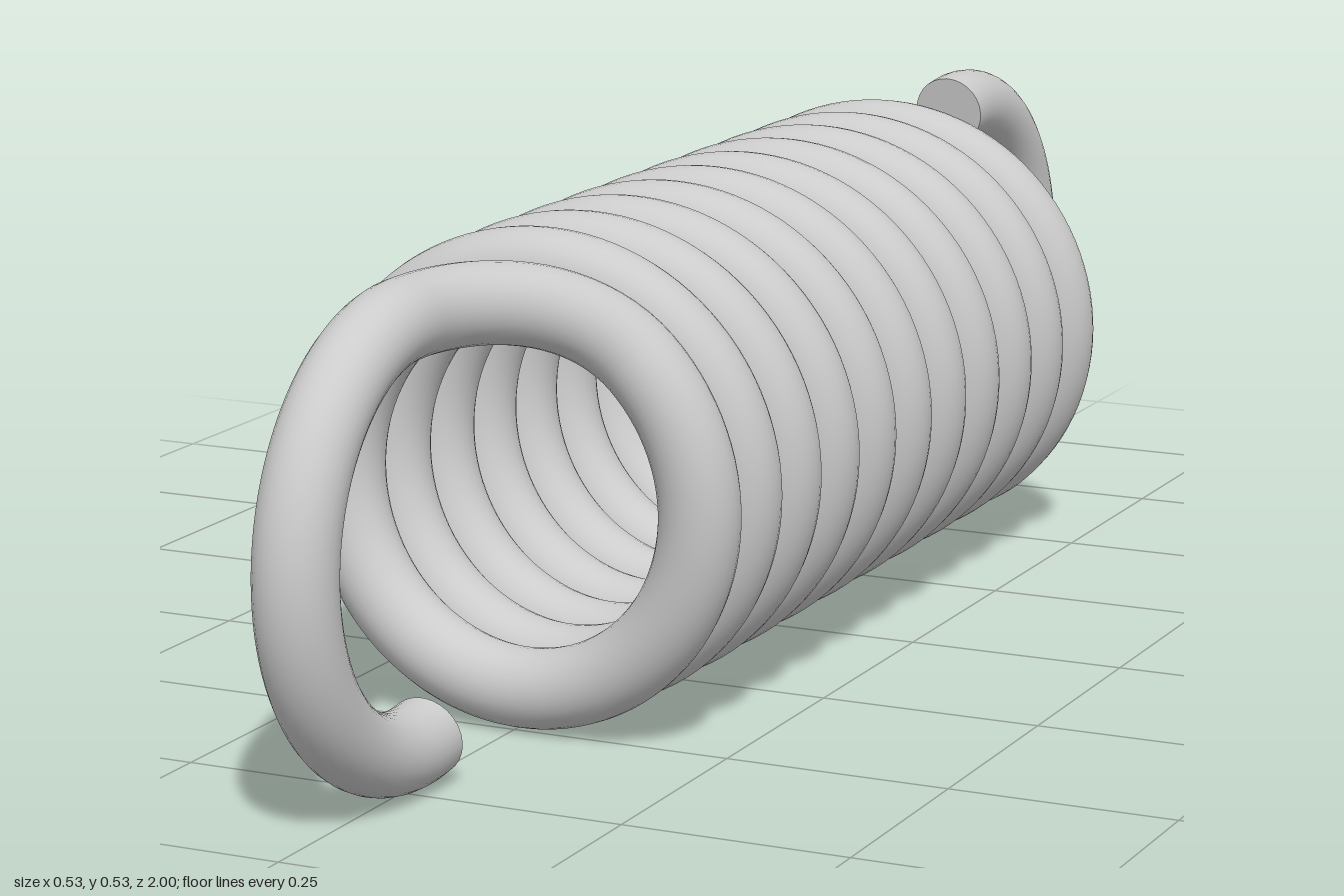
import * as THREE from 'three';

const WIRE = 0.0435;          // wire radius
const R = 0.2235;             // coil and hook radius (to wire centre)
const PITCH = 0.102;
const TURNS = 10;
const BEND = 0.2;             // radius of the bend from coil into hook
const HOOK_Z = 1 - R - WIRE;  // hook centre
const HOOK_SWEEP = THREE.MathUtils.degToRad(189);

// Path of the wire: coil, bend, short straight and hook; the back half is the front turned about x.
class SpringCurve extends THREE.Curve {
  constructor() {
    super();
    this.arcLengthDivisions = 4000;
    this.slope = Math.atan(PITCH / (2 * Math.PI * R));
    this.sEnd = R * (TURNS * Math.PI + Math.PI / 2);
    this.sBend = this.sEnd - BEND * (1 - Math.sin(this.slope));
    this.zBend = this.sBend * Math.tan(this.slope);
    this.zTop = this.zBend + BEND * Math.cos(this.slope);
    this.lengths = [
      this.sBend / Math.cos(this.slope),
      BEND * (Math.PI / 2 - this.slope),
      HOOK_Z - this.zTop,
      R * HOOK_SWEEP,
    ];
    this.half = this.lengths.reduce((a, b) => a + b, 0);
  }

  // Point on the coil's cylinder, s measured around it
  onCylinder(s, z, target) {
    return target.set(R * Math.cos(s / R), R * Math.sin(s / R), z);
  }

  getPoint(t, target = new THREE.Vector3()) {
    const u = (2 * t - 1) * this.half;
    const [coil, bend, straight] = this.lengths;
    let d = Math.abs(u);
    if (d <= coil) {
      this.onCylinder(d * Math.cos(this.slope), d * Math.sin(this.slope), target);
    } else if ((d -= coil) <= bend) {
      const a = this.slope + d / BEND;
      this.onCylinder(
        this.sEnd - BEND * (1 - Math.sin(a)),
        this.zBend + BEND * (Math.cos(this.slope) - Math.cos(a)), target);
    } else if ((d -= bend) <= straight) {
      target.set(0, R, this.zTop + d);
    } else {
      const a = (d - straight) / R;
      target.set(0, R * Math.cos(a), HOOK_Z + R * Math.sin(a));
    }
    if (u < 0) target.set(target.x, -target.y, -target.z);
    return target;
  }
}

export function createModel() {
  const group = new THREE.Group();
  group.name = 'extensionSpring';
  const material = new THREE.MeshStandardMaterial({ color: 0xcccccc });
  const curve = new SpringCurve();

  // Wire
  const wire = new THREE.Mesh(new THREE.TubeGeometry(curve, 1200, WIRE, 28, false), material);
  wire.name = 'springWire';
  group.add(wire);

  // Flat cut ends of the hooks
  for (const [name, t, dir] of [['backHookEnd', 0, -1], ['frontHookEnd', 1, 1]]) {
    const cap = new THREE.Mesh(new THREE.CircleGeometry(WIRE, 28), material);
    cap.name = name;
    cap.position.copy(curve.getPoint(t));
    const out = curve.getTangent(t).multiplyScalar(dir);
    cap.quaternion.setFromUnitVectors(new THREE.Vector3(0, 0, 1), out);
    group.add(cap);
  }

  // Rest the spring on the ground
  for (const part of group.children) part.position.y += R + WIRE;
  return group;
}
